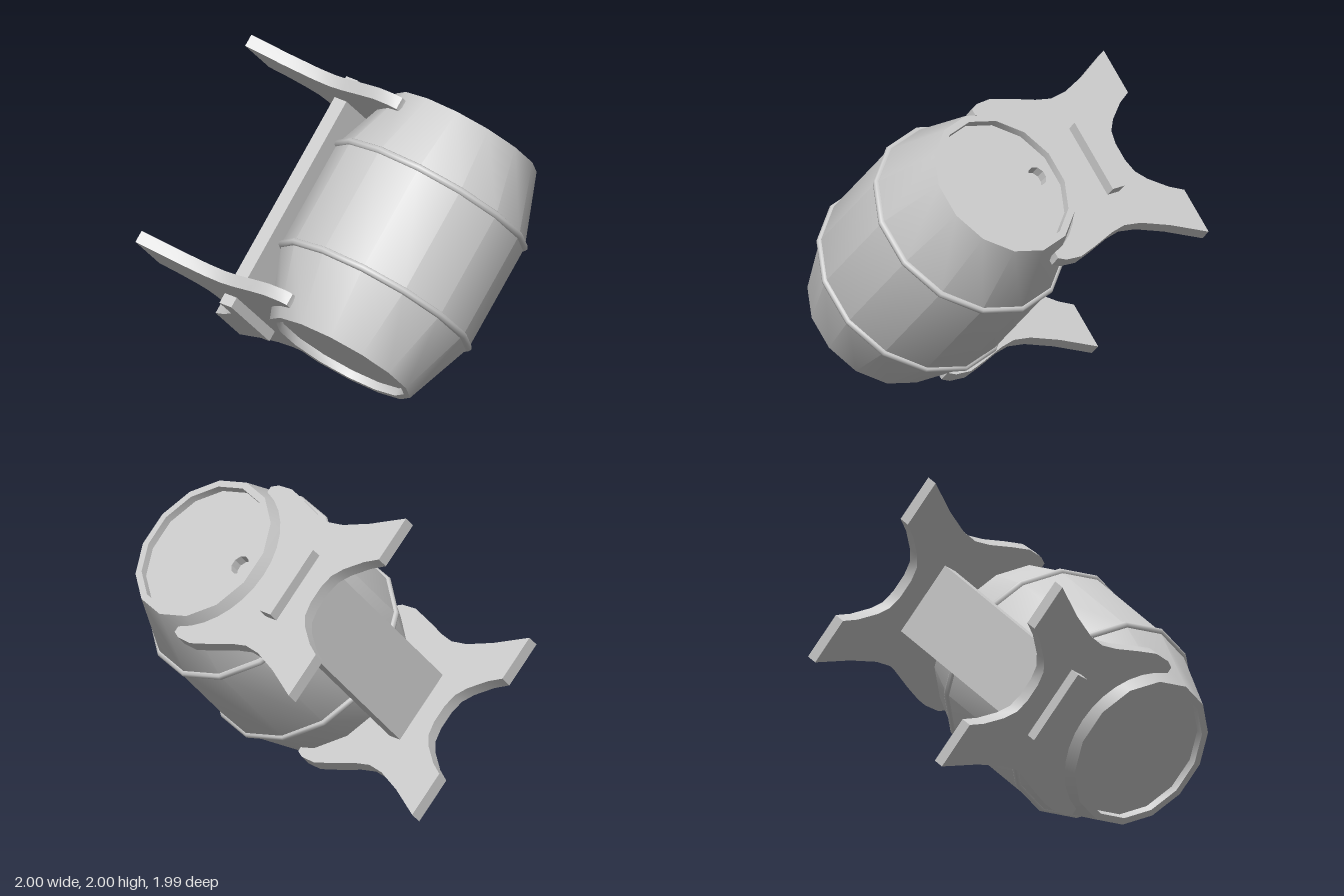
import * as THREE from 'three';
import { toCreasedNormals } from 'three/addons/utils/BufferGeometryUtils.js';

const SIDES = 14;
const BARREL_Z = 0.328;
const material = new THREE.MeshStandardMaterial({ color: 0xcccccc });

function part(parent, name, geometry, crease = 0.5) {
  const mesh = new THREE.Mesh(toCreasedNormals(geometry, crease), material);
  mesh.name = name;
  parent.add(mesh);
  return mesh;
}

const vectors = (list) => list.map(([x, y]) => new THREE.Vector2(x, y));

function ring(radius, sides, cy = 0) {
  return Array.from({ length: sides }, (_, i) => {
    const a = (i / sides) * Math.PI * 2;
    return new THREE.Vector2(radius * Math.cos(a), cy + radius * Math.sin(a));
  });
}

// Slab lying in local xz, from its top at y = 0 down to -depth
function slab(shape, depth) {
  return new THREE.ExtrudeGeometry(shape, { depth, bevelEnabled: false }).rotateX(Math.PI / 2);
}

function makeBarrel() {
  const barrel = new THREE.Group();
  barrel.name = 'barrel';
  barrel.position.z = BARREL_Z;

  // Staves with a raised rim and recessed head at both ends
  const profile = vectors([
    [0, -0.76], [0.452, -0.76], [0.452, -0.812], [0.497, -0.812],
    [0.662, -0.36], [0.662, 0.36],
    [0.497, 0.812], [0.452, 0.812], [0.452, 0.76],
  ]);
  part(barrel, 'staves', new THREE.LatheGeometry(profile, SIDES, Math.PI / 2));

  // Upper head with the bung hole
  const head = new THREE.Shape(ring(0.452, SIDES));
  head.holes.push(new THREE.Path(ring(0.065, 10, -0.31)));
  part(barrel, 'head', slab(head, 0.07)).position.y = 0.76;
  const floor = part(barrel, 'bungHoleFloor', new THREE.CircleGeometry(0.068, 10).rotateX(-Math.PI / 2));
  floor.position.set(0, 0.695, -0.31);

  // Hoops
  for (const y of [-0.36, 0.36]) {
    const hoop = new THREE.TorusGeometry(0.657, 0.024, 8, SIDES).rotateX(Math.PI / 2);
    part(barrel, 'hoop', hoop, 1).position.y = y;
  }
  return barrel;
}

// Stand plate: two arms cradling the barrel, a waist and two splayed feet
function plateShape() {
  const mirror = (pts) => pts.map(([x, z]) => [-x, z]).reverse();
  const outer = [
    [0.51, 0.195], [0.55, 0.195], [0.575, 0.14], [0.582, 0.02], [0.545, -0.12], [0.49, -0.3],
    [0.468, -0.42], [0.485, -0.55], [0.555, -0.75], [0.67, -1],
  ];
  const foot = [
    [0.36, -1], [0.31, -0.9], [0.22, -0.78], [0.15, -0.72], [0.06, -0.697],
  ];
  const cradle = [];
  for (let i = 0; i <= 14; i++) {
    const a = Math.PI + 0.255 + (i / 14) * (Math.PI - 0.51);
    cradle.push([0.525 * Math.cos(a), BARREL_Z + 0.525 * Math.sin(a)]);
  }
  return new THREE.Shape(vectors([
    ...cradle, ...outer, ...foot, ...mirror(foot), ...mirror(outer),
  ]));
}

export function createModel() {
  const model = new THREE.Group();
  model.name = 'barrelOnStand';

  // Everything is built along an upright axis, then tilted 45 degrees
  const tilted = new THREE.Group();
  tilted.name = 'tiltedAssembly';
  tilted.rotation.z = -Math.PI / 4;
  tilted.position.y = 1;
  model.add(tilted);

  tilted.add(makeBarrel());

  const plate = slab(plateShape(), 0.08);
  part(tilted, 'upperStandPlate', plate).position.y = 0.745;
  part(tilted, 'lowerStandPlate', plate).position.y = -0.665;

  // Stretcher board whose ends pass through both plates
  const stretcher = part(tilted, 'stretcher', new THREE.BoxGeometry(0.49, 1.63, 0.1));
  stretcher.position.z = -0.475;

  return model;
}
